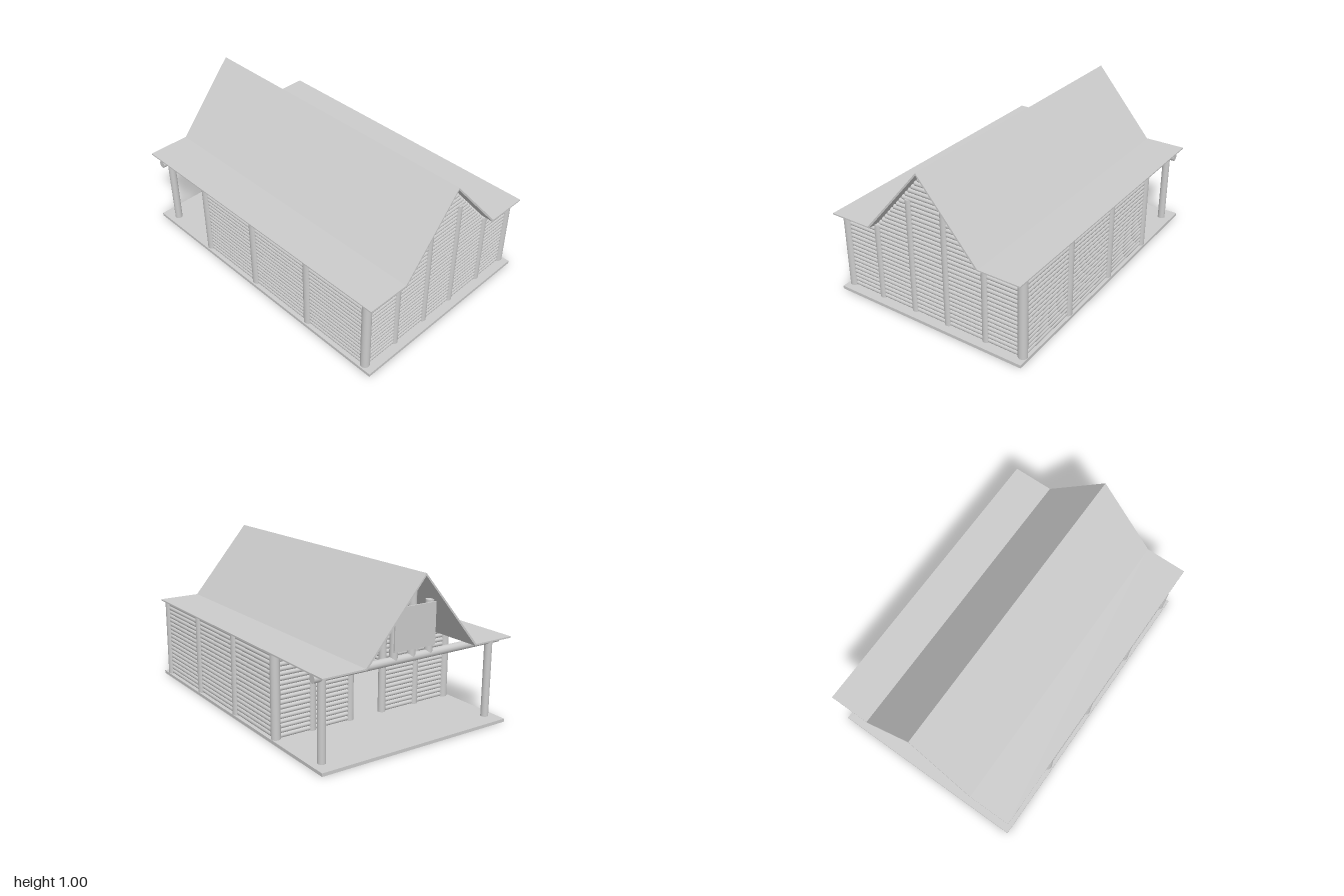
import * as THREE from 'three';

const material = new THREE.MeshStandardMaterial({ color: 0xcccccc });
const FLOOR = 0.02, EAVES = 0.53, STEP = 0.0285, LOG_R = 0.0148;
const FRONT_Z = 0.925, BACK_Z = -0.48, PORCH_Z = -0.89;
const POSTS_X = [-0.625, -0.38, -0.125, 0.12, 0.39, 0.637];
const POSTS_Z = [FRONT_Z, 0.455, -0.02, BACK_Z];

function add(parent, name, geometry, x = 0, y = 0, z = 0) {
  const mesh = new THREE.Mesh(geometry, material);
  mesh.name = name;
  mesh.position.set(x, y, z);
  parent.add(mesh);
  return mesh;
}

function post(parent, name, x, z, y0, y1, r) {
  return add(parent, name, new THREE.CylinderGeometry(r, r, y1 - y0, 20), x, (y0 + y1) / 2, z);
}

function logX(parent, name, x0, x1, y, z, r = LOG_R) {
  const log = add(parent, name, new THREE.CylinderGeometry(r, r, x1 - x0, 14), (x0 + x1) / 2, y, z);
  log.rotation.z = Math.PI / 2;
}

function logZ(parent, name, z0, z1, y, x) {
  const log = add(parent, name, new THREE.CylinderGeometry(LOG_R, LOG_R, z1 - z0, 14), x, y, (z0 + z1) / 2);
  log.rotation.x = Math.PI / 2;
}

// Log wall with a stepped gable, optionally with a doorway in the middle bay
function gableWall(name, z, doorHeight) {
  const wall = new THREE.Group();
  wall.name = name;
  const left = POSTS_X[0], right = POSTS_X[5];
  for (let y = FLOOR + LOG_R; ; y += STEP) {
    if (y < EAVES - 0.01) {
      if (y < doorHeight) {
        logX(wall, 'wallLog', left, POSTS_X[2], y, z);
        logX(wall, 'wallLog', POSTS_X[3], right, y, z);
      } else logX(wall, 'wallLog', left, right, y, z);
    } else {
      const half = (0.985 - y - LOG_R) * 0.846;
      if (half < 0.004) break;
      logX(wall, 'gableLog', -half, half, y, z);
    }
  }
  POSTS_X.forEach((x, i) => {
    const corner = i === 0 || i === 5, inner = i === 2 || i === 3;
    post(wall, corner ? 'cornerPost' : 'wallPost', x, z, FLOOR, inner ? 0.775 : EAVES, corner ? 0.029 : 0.024);
  });
  return wall;
}

// Straight side wall with posts between the bays
function sideWall(name, x) {
  const wall = new THREE.Group();
  wall.name = name;
  for (let y = FLOOR + LOG_R; y < EAVES - 0.01; y += STEP) logZ(wall, 'sideLog', BACK_Z, FRONT_Z, y, x);
  for (const z of POSTS_Z.slice(1, 3)) post(wall, 'sidePost', x, z, FLOOR, EAVES, 0.029);
  return wall;
}

// Steep central gable and flat side eaves as one thin folded sheet
function roofGeometry() {
  const outline = [
    [-0.672, 0.53], [-0.386, 0.53], [0, 0.985], [0.386, 0.53], [0.668, 0.53],
    [0.668, 0.539], [0.394, 0.539], [0, 1], [-0.394, 0.539], [-0.672, 0.539],
  ].map(([x, y]) => new THREE.Vector2(x, y));
  const geometry = new THREE.ExtrudeGeometry(new THREE.Shape(outline), { depth: 1.995, bevelEnabled: false });
  return geometry.translate(0, 0, -0.9975);
}

// Porch posts, cross beam, and the board standing on the beam
function porch() {
  const group = new THREE.Group();
  group.name = 'porch';
  for (const x of [-0.6, 0.6]) post(group, 'porchPost', x, PORCH_Z, FLOOR, 0.5, 0.024);
  logX(group, 'porchBeam', -0.67, 0.66, 0.505, PORCH_Z, 0.025);
  for (const x of [-0.125, 0, 0.125]) post(group, 'boardPost', x, PORCH_Z, 0.51, x === 0 ? 0.92 : 0.82, 0.024);
  add(group, 'gableBoard', new THREE.BoxGeometry(0.29, 0.25, 0.01), 0, 0.685, PORCH_Z - 0.029);
  return group;
}

export function createModel() {
  const model = new THREE.Group();
  model.name = 'logCabin';
  add(model, 'floorSlab', new THREE.BoxGeometry(1.33, FLOOR, 1.99), 0.003, FLOOR / 2, 0);
  model.add(gableWall('frontWall', FRONT_Z, 0));
  model.add(gableWall('backWall', BACK_Z, 0.44));
  model.add(sideWall('leftWall', POSTS_X[5]));
  model.add(sideWall('rightWall', POSTS_X[0]));
  model.add(porch());
  add(model, 'roof', roofGeometry());
  return model;
}
